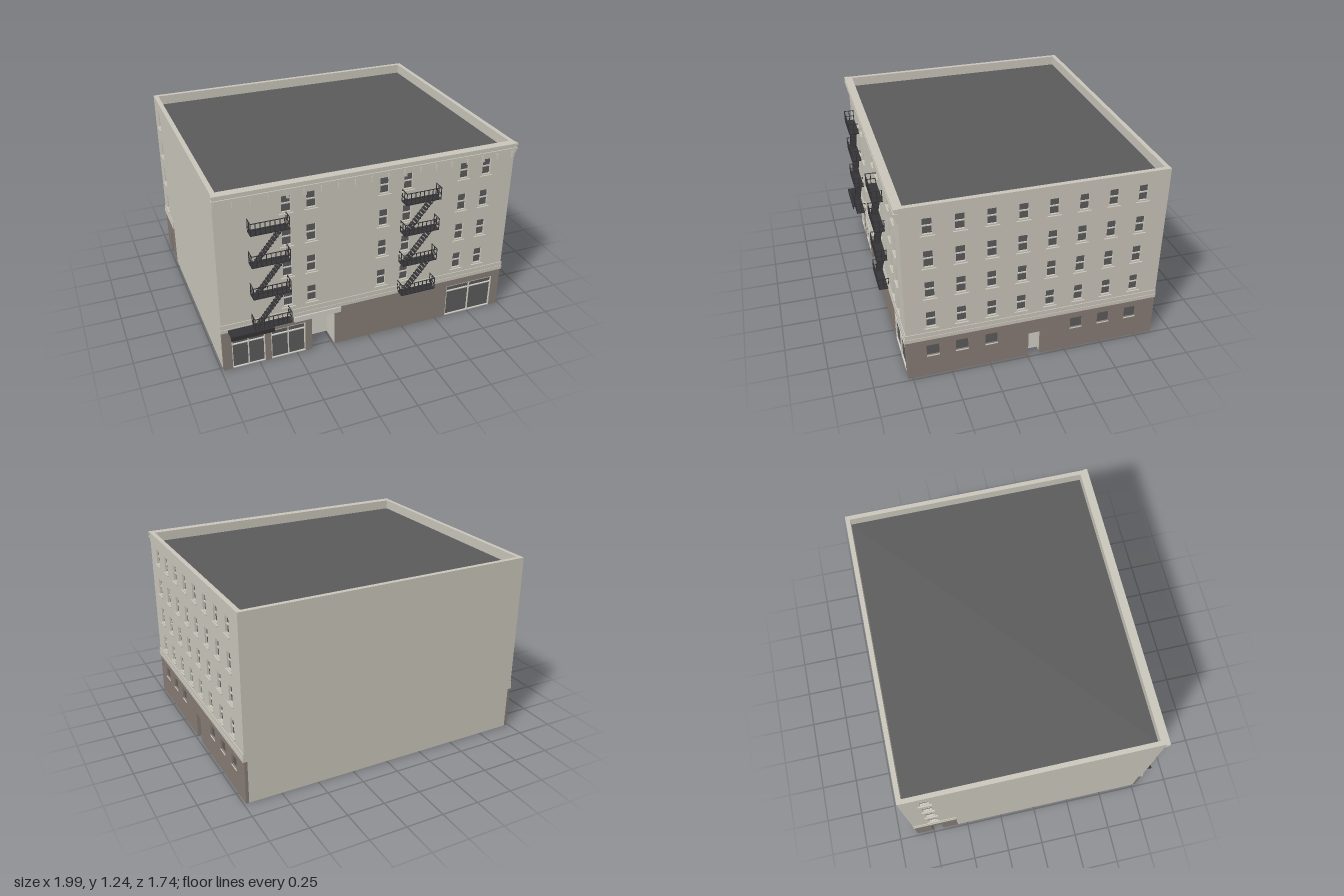
import * as THREE from 'three';

const mat = (name, color) => new THREE.MeshStandardMaterial({ name, color });
const wallMat = mat('pale stone', 0xcac6bb);
const baseMat = mat('brown base', 0x877c75);
const darkMat = mat('roof and glass grey', 0x5b5b5b);
const ironMat = mat('dark iron', 0x343437);
const trimMat = mat('light trim', 0xd2d0c6);

const SKIN = 0.02, TOP = 1.24, BASE = 0.29;
const ROWS = [[0.385, 0.497], [0.605, 0.718], [0.824, 0.936], [1.05, 1.155]];

// Box given by its extents
function box(parent, name, m, [x0, x1], [y0, y1], [z0, z1]) {
  const mesh = new THREE.Mesh(new THREE.BoxGeometry(x1 - x0, y1 - y0, z1 - z0), m);
  mesh.position.set((x0 + x1) / 2, (y0 + y1) / 2, (z0 + z1) / 2);
  mesh.name = name;
  parent.add(mesh);
  return mesh;
}

// Wall slab with notches at the bottom edge [u0, u1, top] and holes [u0, u1, v0, v1]
function wall(side, name, m, [u0, u1], [v0, v1], notches = [], holes = [], front = 0, depth = SKIN) {
  const s = new THREE.Shape();
  s.moveTo(u0, v0);
  for (const [a, b, h] of notches) s.lineTo(a, v0).lineTo(a, h).lineTo(b, h).lineTo(b, v0);
  s.lineTo(u1, v0).lineTo(u1, v1).lineTo(u0, v1).closePath();
  for (const [a, b, c, d] of holes) {
    const p = new THREE.Path();
    p.moveTo(a, c).lineTo(a, d).lineTo(b, d).lineTo(b, c).closePath();
    s.holes.push(p);
  }
  const mesh = new THREE.Mesh(new THREE.ExtrudeGeometry(s, { depth, bevelEnabled: false }), m);
  mesh.position.z = front - depth;
  mesh.name = name;
  side.add(mesh);
}

// One facade: local z = 0 is the outer face, +z points outwards
function facade(root, name, x, z, turn) {
  const g = new THREE.Group();
  g.name = name;
  g.position.set(x, 0, z);
  g.rotation.y = turn;
  root.add(g);
  return g;
}

// Upper-floor sash windows; returns the openings
function sashWindows(side, columns) {
  const holes = [];
  for (const u of columns) for (const [a, b] of ROWS) {
    const l = u - 0.029, r = u + 0.029, mid = (a + b) / 2;
    holes.push([l, r, a, b]);
    box(side, 'windowPane', darkMat, [l, r], [a, b], [-0.019, -0.014]);
    box(side, 'sashBar', trimMat, [l, r], [mid - 0.004, mid + 0.004], [-0.014, -0.008]);
    box(side, 'windowSill', wallMat, [u - 0.044, u + 0.044], [a - 0.017, a - 0.008], [0, 0.01]);
  }
  return holes;
}

// Glazed shop window with a light frame
function shopWindow(side, u0, u1, h, rail) {
  const z = [-0.012, -0.002], t = 0.006, mid = (u0 + u1) / 2;
  box(side, 'shopGlass', darkMat, [u0, u1], [0, h], [-0.019, -0.012]);
  for (const u of [u0 + t / 2, mid, u1 - t / 2]) box(side, 'shopMullion', trimMat, [u - t / 2, u + t / 2], [0, h], z);
  for (const y of [0.004, rail, h - t / 2]) box(side, 'shopRail', trimMat, [u0, u1], [y - t / 2, y + t / 2], z);
}

// Door set back in an entry, built from inward-facing faces
function entry(side, u0, u1, h, depth, doorTop, jambMat) {
  const w = u1 - u0, mid = (u0 + u1) / 2;
  const face = (name, m, a, b, x, y, z, rx, ry) => {
    const p = new THREE.Mesh(new THREE.PlaneGeometry(a, b), m);
    p.position.set(x, y, z);
    p.rotation.set(rx, ry, 0);
    p.name = name;
    side.add(p);
  };
  face('door', trimMat, w, doorTop, mid, doorTop / 2, -depth, 0, 0);
  if (h > doorTop) face('doorTransom', darkMat, w, h - doorTop, mid, (h + doorTop) / 2, -depth, 0, 0);
  face('entryJamb', jambMat, depth, h, u0, h / 2, -depth / 2, 0, Math.PI / 2);
  face('entryJamb', wallMat, depth, h, u1, h / 2, -depth / 2, 0, -Math.PI / 2);
  face('entryCeiling', wallMat, w, depth, mid, h, -depth / 2, Math.PI / 2, 0);
}

// Belt course above the base
function belt(side, u) {
  box(side, 'beltCourse', wallMat, u, [0.29, 0.315], [0, 0.008]);
  box(side, 'beltLedge', wallMat, u, [0.315, 0.345], [0, 0.005]);
}

// Iron fire escape, x from 0 to 0.24, local z from the wall outwards
function fireEscape() {
  const g = new THREE.Group(), W = 0.24, D = 0.07, H = 0.082, t = 0.0022;
  g.name = 'fireEscape';
  const levels = [0.305, 0.53, 0.753, 0.971];
  levels.forEach((y, i) => {
    box(g, 'landing', ironMat, [0, W], [y, y + 0.006], [0, D]);
    for (const v of [y + H / 2, y + H]) {
      box(g, 'frontRail', ironMat, [0, W], [v - 0.004, v], [D - 0.004, D]);
      for (const x of [0, W - 0.004]) box(g, 'endRail', ironMat, [x, x + 0.004], [v - 0.004, v], [0, D]);
    }
    for (let k = 0; k <= 8; k++) {
      const x = t + (W - 2 * t) * k / 8;
      box(g, 'baluster', ironMat, [x - t, x + t], [y, y + H], [D - 0.004, D]);
    }
    for (const x of [t, W - t]) for (const z of [0.004, D / 2])
      box(g, 'endBaluster', ironMat, [x - t, x + t], [y, y + H], [z - t, z + t]);
    if (i === levels.length - 1) return;
    // Stair flight to the next landing
    const y1 = levels[i + 1], x0 = 0.02, x1 = 0.2, n = 12;
    for (let k = 0; k < n; k++) {
      const f = (k + 0.5) / n, x = x0 + (x1 - x0) * f, sy = y + (y1 - y) * f;
      box(g, 'step', ironMat, [x - 0.01, x + 0.01], [sy - 0.002, sy + 0.002], [0.012, 0.056]);
    }
    for (const z of [0.012, 0.056]) {
      const s = new THREE.Mesh(new THREE.BoxGeometry(Math.hypot(x1 - x0, y1 - y), 0.004, 0.003), ironMat);
      s.position.set((x0 + x1) / 2, (y + y1) / 2, z);
      s.rotation.z = Math.atan2(y1 - y, x1 - x0);
      s.name = 'stringer';
      g.add(s);
    }
  });
  return g;
}

export function createModel() {
  const root = new THREE.Group();
  root.name = 'cornerBuilding';
  const liner = (side, u, notches) => wall(side, 'innerWall', wallMat, u, [0, TOP], notches, [], -SKIN, 0.01);

  // Street front
  const front = facade(root, 'frontFacade', 0, 0.78, 0);
  const door = [-0.395, -0.24, 0.245];
  const shops = [[-0.925, -0.71, 0.225, 0.182], [-0.67, -0.44, 0.225, 0.182], [0.575, 0.925, 0.24, 0.197]];
  wall(front, 'frontBase', baseMat, [-0.985, 0.985], [0, BASE], [shops[0], shops[1], door, shops[2]]);
  wall(front, 'frontWall', wallMat, [-0.985, 0.985], [BASE, TOP], [], sashWindows(front, [-0.55, -0.395, 0.08, 0.24, 0.63, 0.79]));
  liner(front, [-0.965, 0.965], [door]);
  shops.forEach(s => shopWindow(front, ...s));
  entry(front, ...door, 0.14, 0.2, darkMat);
  belt(front, [-0.99, 0.99]);
  box(front, 'entryLintel', trimMat, [-0.515, -0.2], [0.25, 0.287], [0, 0.012]);

  // Awning with a hanging edge
  box(front, 'awningTop', ironMat, [-0.945, -0.67], [0.298, 0.308], [0, 0.085]);
  box(front, 'awningEdge', ironMat, [-0.945, -0.67], [0.278, 0.3], [0.078, 0.085]);

  // Cornice, brackets and dentils
  box(front, 'corniceCap', wallMat, [-0.99, 0.99], [1.225, TOP], [0, 0.025]);
  box(front, 'corniceBand', wallMat, [-0.985, 0.985], [1.21, 1.225], [0, 0.018]);
  box(front, 'corniceLedge', wallMat, [-0.99, 0.99], [1.197, 1.21], [0, 0.025]);
  for (let i = 0; i < 19; i++) {
    const x = -0.972 + 0.108 * i;
    box(front, 'bracketHead', wallMat, [x - 0.011, x + 0.011], [1.175, 1.197], [0, 0.022]);
    box(front, 'bracketFoot', wallMat, [x - 0.008, x + 0.008], [1.142, 1.175], [0, 0.012]);
    if (i < 18) for (let k = 1; k < 4; k++)
      box(front, 'dentil', wallMat, [x + 0.027 * k - 0.005, x + 0.027 * k + 0.005], [1.185, 1.197], [0, 0.012]);
  }

  // Fire escapes
  for (const x of [-0.79, 0.198]) {
    const e = fireEscape();
    e.position.x = x;
    front.add(e);
  }

  // Side street facade, u runs towards the back
  const right = facade(root, 'sideFacade', 0.985, 0, Math.PI / 2);
  const sideDoor = [0.005, 0.085, 0.18];
  const low = [-0.615, -0.43, -0.24, 0.325, 0.512, 0.7].map(u => [u - 0.041, u + 0.041, 0.16, 0.24]);
  wall(right, 'sideBase', baseMat, [-0.76, 0.87], [0, BASE], [sideDoor], low);
  wall(right, 'sideWall', wallMat, [-0.76, 0.87], [BASE, TOP], [],
    sashWindows(right, [-0.62, -0.43, -0.24, -0.05, 0.137, 0.325, 0.513, 0.702]));
  liner(right, [-0.76, 0.85], [sideDoor]);
  for (const [a, b, c, d] of low) {
    box(right, 'lowWindow', darkMat, [a, b], [c, d], [-0.019, -0.012]);
    box(right, 'lowSill', trimMat, [a, b], [c - 0.005, c], [0, 0.004]);
  }
  entry(right, ...sideDoor, 0.06, 0.18, baseMat);
  belt(right, [-0.785, 0.87]);

  // Party wall with a short finished return at the back corner
  const left = facade(root, 'partyFacade', -0.985, 0, -Math.PI / 2);
  const backDoor = [-0.755, -0.68, 0.18];
  wall(left, 'returnBase', baseMat, [-0.87, -0.57], [0, BASE], [backDoor]);
  wall(left, 'partyWallBase', wallMat, [-0.57, 0.76], [0, BASE]);
  wall(left, 'partyWall', wallMat, [-0.87, 0.76], [BASE, TOP], [], sashWindows(left, [-0.72]));
  liner(left, [-0.85, 0.76], [backDoor]);
  entry(left, ...backDoor, 0.06, 0.18, baseMat);
  belt(left, [-0.87, -0.57]);

  // Plain back and sunken roof
  const back = facade(root, 'backFacade', 0, -0.87, Math.PI);
  wall(back, 'backWall', wallMat, [-0.965, 0.965], [0, TOP]);
  liner(back, [-0.965, 0.965], []);
  box(root, 'roof', darkMat, [-0.957, 0.957], [1.16, 1.175], [-0.842, 0.752]);
  return root;
}
